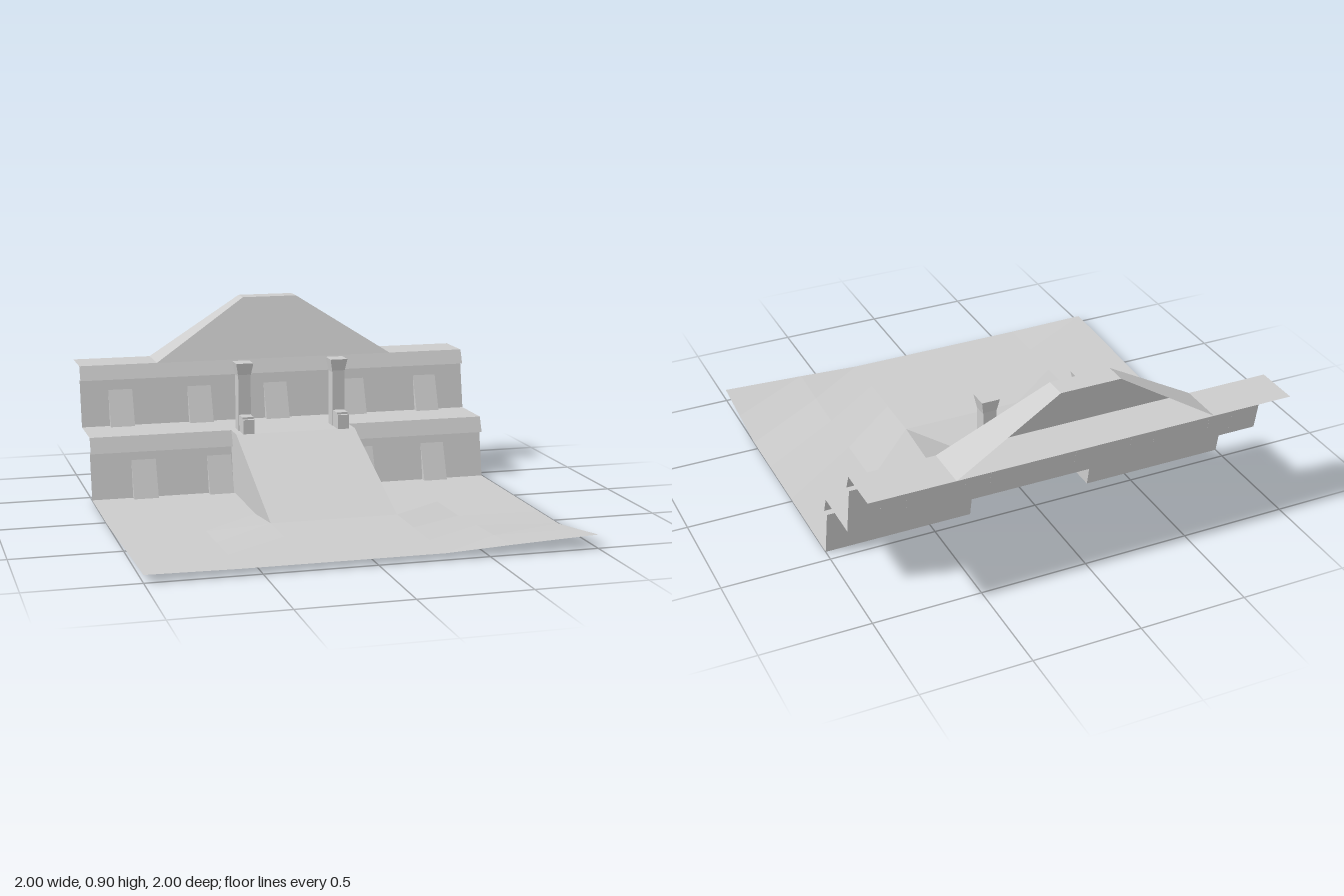
import * as THREE from 'three';

const material = new THREE.MeshStandardMaterial({
  color: 0xcccccc, flatShading: true, side: THREE.DoubleSide,
});

function surface(name, pos) {
  const g = new THREE.BufferGeometry();
  g.setAttribute('position', new THREE.Float32BufferAttribute(pos, 3));
  g.computeVertexNormals();
  const m = new THREE.Mesh(g, material);
  m.name = name;
  return m;
}

// Open sheet through rows of [x, y, z] points; rows run front to back, points left to right
function sheet(name, rows) {
  const pos = [];
  for (let i = 0; i < rows.length - 1; i++) {
    for (let j = 0; j < rows[i].length - 1; j++) {
      const a = rows[i][j], b = rows[i][j + 1], c = rows[i + 1][j + 1], d = rows[i + 1][j];
      pos.push(...a, ...b, ...c, ...a, ...c, ...d);
    }
  }
  return surface(name, pos);
}

// Sweep a [z, y] profile from x0 to x1
const strip = (name, x0, x1, profile) =>
  sheet(name, profile.map(([z, y]) => [[x0, y, z], [x1, y, z]]));

// Wedge-shaped buttress leaning on a wall
function buttress(x, y, z, wallTopZ) {
  const w = 0.06, f = z + 0.035, t = y + 0.18;
  const top = z + (wallTopZ - z) * 0.8;
  const bl = [x - w, y, f], br = [x + w, y, f], tl = [x - w, t, top], tr = [x + w, t, top];
  const kl = [x - w, y, z], kr = [x + w, y, z];
  return surface('buttress', [...bl, ...br, ...tr, ...bl, ...tr, ...tl, ...kl, ...bl, ...tl, ...br, ...kr, ...tr]);
}

function box(name, w, y0, y1, z0, z1) {
  const m = new THREE.Mesh(new THREE.BoxGeometry(w, y1 - y0, z1 - z0), material);
  m.position.set(0, (y0 + y1) / 2, (z0 + z1) / 2);
  m.name = name;
  return m;
}

// Post with a stepped foot and a flared square cap
function gatePost(x) {
  const post = new THREE.Group();
  post.name = 'gatePost';
  post.add(box('postShaft', 0.062, 0.3, 0.58, -0.525, -0.455));
  post.add(box('postFoot', 0.056, 0.3, 0.38, -0.455, -0.385));
  post.add(box('postToe', 0.056, 0.3, 0.37, -0.385, -0.365));
  const capGeo = new THREE.CylinderGeometry(0.043 * Math.SQRT2, 0.031 * Math.SQRT2, 0.065, 4);
  capGeo.rotateY(Math.PI / 4).scale(1, 1, 1.08);
  const cap = new THREE.Mesh(capGeo, material);
  cap.position.set(0, 0.6025, -0.49);
  cap.name = 'postCap';
  post.add(cap);
  post.position.x = x;
  return post;
}

export function createModel() {
  const group = new THREE.Group();
  const R = 0.3;

  // Ground: gently uneven, with an opening beneath the ramp
  const xs = [-1, -0.6, -R, R, 0.6, 1];
  const ground = [
    [1, [0.035, 0.03, 0.03, 0.03, 0.045, 0.062]],
    [0.78, [0.03, 0.03, 0.03, 0.03, 0.03, 0.03]],
    [0.56, [0.02, 0.025, 0.03, 0.03, 0.02, 0]],
    [0.32, [0.01, 0.015, 0.03, 0.03, 0.005, 0]],
    [0.02, [0, 0, 0, 0, 0, 0]],
    [-0.44, [0, 0, 0, 0, 0, 0]],
  ].map(([z, ys]) => ys.map((y, j) => [xs[j], y, z]));
  group.add(sheet('frontGround', ground.slice(0, 4)));
  group.add(sheet('rightGround', ground.slice(3).map(r => r.slice(0, 3))));
  group.add(sheet('leftGround', ground.slice(3).map(r => r.slice(3))));

  // Lower wall with overhanging lip, either side of the ramp
  const lower = [[-0.44, 0], [-0.485, 0.225], [-0.45, 0.225], [-0.48, 0.3]];
  group.add(strip('lowerWallRight', -1, -R, lower));
  group.add(strip('lowerWallLeft', R, 1, lower));

  // Terrace, upper wall with lip, and top ledge
  group.add(strip('upperTerrace', -1, 1, [
    [-0.48, 0.3], [-0.74, 0.3], [-0.785, 0.53], [-0.755, 0.53], [-0.785, 0.6], [-1, 0.6],
  ]));

  // Ramp with landing and closed flanks
  group.add(strip('ramp', -R, R, [[0.32, 0.03], [-0.37, 0.3], [-0.48, 0.3]]));
  const outline = [[0.32, 0.03], [0.02, 0], ...lower, [-0.37, 0.3]];
  const flank = new THREE.ShapeGeometry(
    new THREE.Shape(outline.map(([z, y]) => new THREE.Vector2(-z, y))));
  flank.rotateY(Math.PI / 2);
  for (const s of [-1, 1]) {
    const m = new THREE.Mesh(flank, material);
    m.position.x = s * R;
    m.name = s < 0 ? 'rampFlankRight' : 'rampFlankLeft';
    group.add(m);
  }

  // Buttresses on both walls
  for (const x of [-0.74, -0.365, 0.365, 0.74]) group.add(buttress(x, 0, -0.44, -0.485));
  for (const x of [-0.8, -0.4, -0.005, 0.405, 0.795]) group.add(buttress(x, 0.3, -0.74, -0.785));

  // Mound on the top ledge, open at the back
  const edge = z => [[-0.61, 0.6, z ?? -0.785], [-0.14, 0.9, z ?? -0.9], [0.14, 0.9, z ?? -0.9], [0.61, 0.6, z ?? -0.785]];
  const [a, b, c, d] = edge();
  group.add(sheet('moundFront', [[a, d], [b, c]]));
  group.add(sheet('moundRoof', [edge(), edge(-1)]));

  for (const x of [-0.238, 0.24]) group.add(gatePost(x));
  return group;
}
